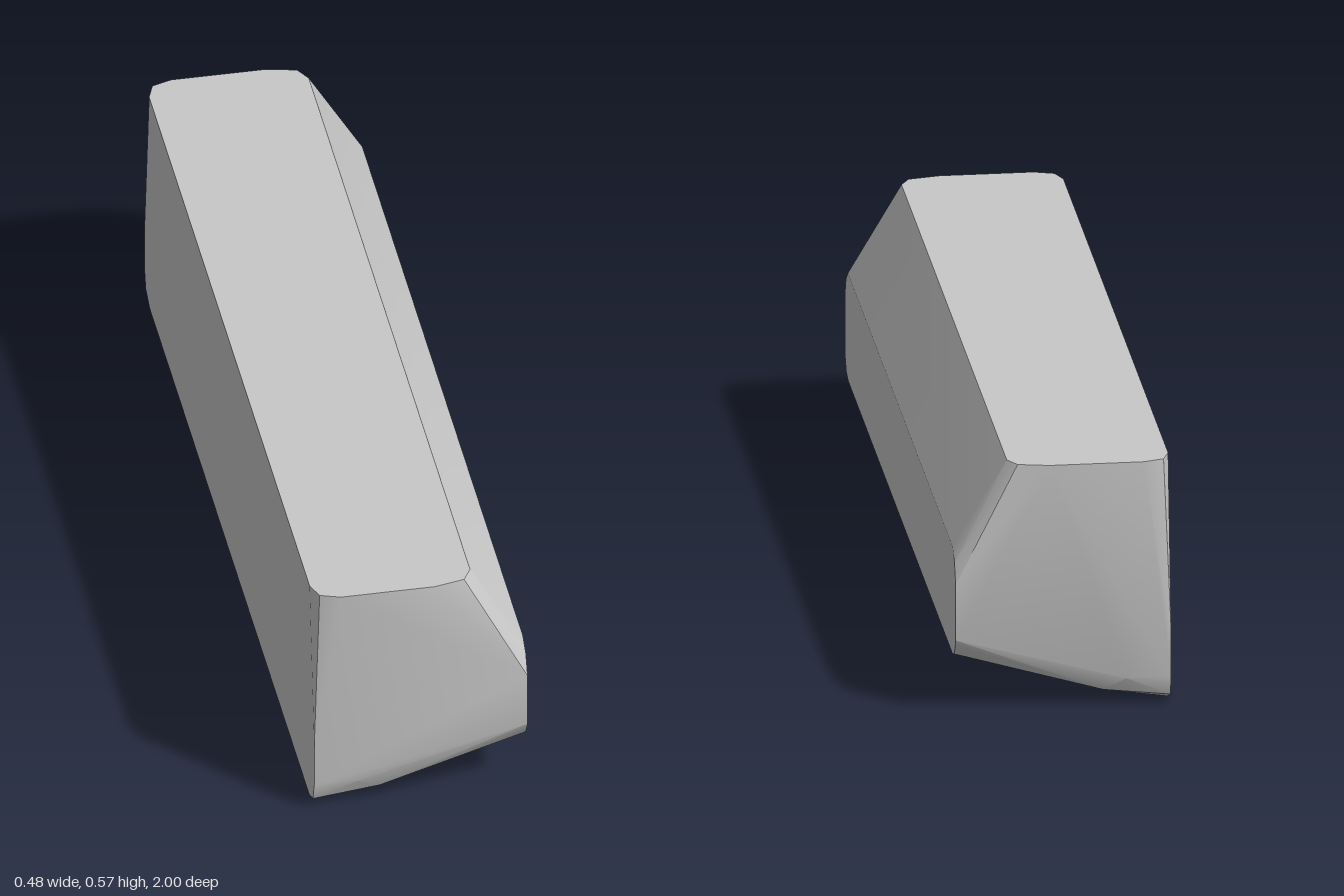
import * as THREE from 'three';
import { ConvexGeometry } from 'three/addons/geometries/ConvexGeometry.js';
import { toCreasedNormals } from 'three/addons/utils/BufferGeometryUtils.js';

// Corners of one bevelled end; the other end is its mirror image.
const endCorners = [
  // upright side at -x, tapering in towards the top
  [-0.24, 0, 0.94], [-0.24, 0.02, 0.985], [-0.24, 0.066, 1], [-0.24, 0.17, 1], [-0.24, 0.57, 0.945],
  // rounded corners of the top
  [-0.225, 0.57, 0.985], [-0.18, 0.57, 1], [0.03, 0.57, 1], [0.1, 0.57, 0.985], [0.12, 0.57, 0.95],
  // upright side at +x, below the slope
  [0.24, 0.37, 0.945], [0.24, 0.345, 0.98], [0.24, 0.3, 1],
  [0.24, 0.17, 1], [0.24, 0.157, 0.994], [0.24, 0.13, 0.975], [0.24, 0.12, 0.94],
  // slight bend in the sloping underside
  [-0.09, 0.03, 0.945], [-0.09, 0.037, 0.985], [-0.14, 0.066, 1],
];

export function createModel() {
  const group = new THREE.Group();
  group.name = 'bevelledBlock';
  const grey = new THREE.MeshStandardMaterial({ color: 0xc8c8c8 });
  grey.name = 'light grey';

  const points = [];
  for (const [x, y, z] of endCorners) {
    for (const side of [1, -1]) points.push(new THREE.Vector3(x, y, z * side));
  }
  const block = new THREE.Mesh(toCreasedNormals(new ConvexGeometry(points), 0.4), grey);
  block.name = 'block';
  group.add(block);
  return group;
}
